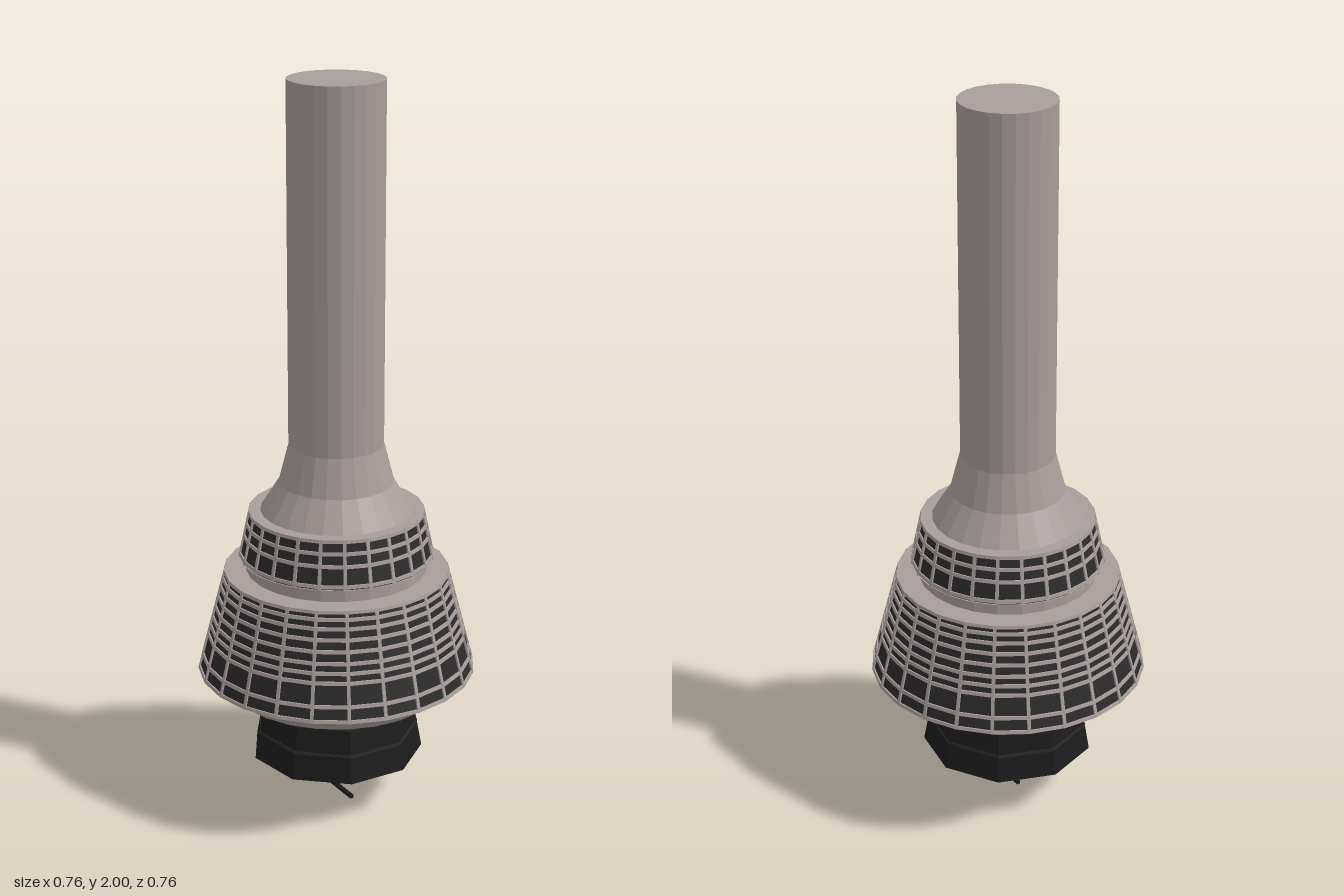
import * as THREE from 'three';

const SIDES = 24;
const stone = new THREE.MeshStandardMaterial({ color: 0xa89d9b, flatShading: true, side: THREE.DoubleSide });
const glass = new THREE.MeshStandardMaterial({ color: 0x2b2b2b, flatShading: true, side: THREE.DoubleSide });
const black = new THREE.MeshStandardMaterial({ color: 0x1c1c1c, flatShading: true, side: THREE.DoubleSide });

function add(parent, name, geometry, material) {
  const mesh = new THREE.Mesh(geometry, material);
  mesh.name = name;
  parent.add(mesh);
  return mesh;
}

// Revolved profile, points listed from bottom to top as [radius, height]
function turned(points, sides = SIDES, start = 0) {
  return new THREE.LatheGeometry(points.map(([r, y]) => new THREE.Vector2(r, y)), sides, start);
}

// Tapered glazed drum wrapped in horizontal bands and sloping ribs
function glazedTier(name, r0, y0, r1, y1, bands, bandHeight) {
  const tier = new THREE.Group();
  tier.name = name;
  const radiusAt = y => r0 + (r1 - r0) * (y - y0) / (y1 - y0);
  const proud = 0.003;

  add(tier, 'windows', turned([[r0 - 0.004, y0], [r1 - 0.004, y1]]), glass);
  add(tier, 'roof', turned([[r1, y1], [0, y1]]), stone);
  add(tier, 'underside', turned([[0, y0], [r0, y0]]), stone);

  for (const y of bands) {
    const lo = Math.max(y0, y - bandHeight / 2);
    const hi = Math.min(y1, y + bandHeight / 2);
    add(tier, 'band', turned([
      [radiusAt(lo) - 0.006, lo], [radiusAt(lo), lo],
      [radiusAt(hi), hi], [radiusAt(hi) - 0.006, hi],
    ]), stone);
  }

  const slope = Math.hypot(y1 - y0, r0 - r1);
  const rib = new THREE.BoxGeometry(0.009, slope, 0.006);
  for (let i = 0; i < SIDES; i++) {
    const spoke = new THREE.Group();
    spoke.name = 'ribSpoke';
    spoke.rotation.y = i * Math.PI * 2 / SIDES;
    const mesh = add(spoke, 'rib', rib, stone);
    mesh.position.set(0, (y0 + y1) / 2, (r0 + r1) / 2 - proud);
    mesh.rotation.x = -Math.atan2(r0 - r1, y1 - y0);
    tier.add(spoke);
  }
  return tier;
}

export function createModel() {
  const model = new THREE.Group();
  model.name = 'tower';

  // Upper shaft with flared foot
  add(model, 'shaft', turned([
    [0.205, 0.845], [0.155, 0.925], [0.128, 1.03], [0.128, 2], [0, 2],
  ]), stone);

  // Two glazed tiers with a neck between
  model.add(glazedTier('upperTier', 0.265, 0.715, 0.237, 0.845,
    [0.723, 0.775, 0.808, 0.84], 0.009));
  add(model, 'neck', turned([[0.245, 0.67], [0.245, 0.72]]), stone);
  model.add(glazedTier('mainTier', 0.38, 0.388, 0.305, 0.675,
    [0.392, 0.43, 0.49, 0.515, 0.54, 0.57, 0.6, 0.628, 0.652, 0.671], 0.009));

  // Chamfered base of the main tier
  add(model, 'chamfer', turned([
    [0, 0.33], [0.295, 0.33], [0.345, 0.388],
  ]), stone);

  // Nine-sided dark lower pod
  add(model, 'lowerPod', turned([
    [0, 0.09], [0.145, 0.09], [0.168, 0.135], [0.238, 0.135], [0.202, 0.33],
  ], 9, Math.PI / 2), black);
  for (const y of [0.21, 0.285]) {
    const r = 0.238 - (y - 0.135) * 0.185;
    add(model, 'podSeam', turned([
      [r - 0.003, y - 0.004], [r + 0.002, y - 0.004],
      [r + 0.001, y + 0.004], [r - 0.004, y + 0.004],
    ], 9, Math.PI / 2), glass);
  }

  // Thin stem and skewed crossbar at the bottom
  const stem = add(model, 'stem', new THREE.CylinderGeometry(0.007, 0.007, 0.09, 8), black);
  stem.position.set(0.003, 0.05, 0);
  const bar = add(model, 'crossbar', new THREE.BoxGeometry(0.138, 0.01, 0.01), black);
  bar.position.set(0.01, 0.005, 0);
  bar.rotation.y = -0.33;

  return model;
}
